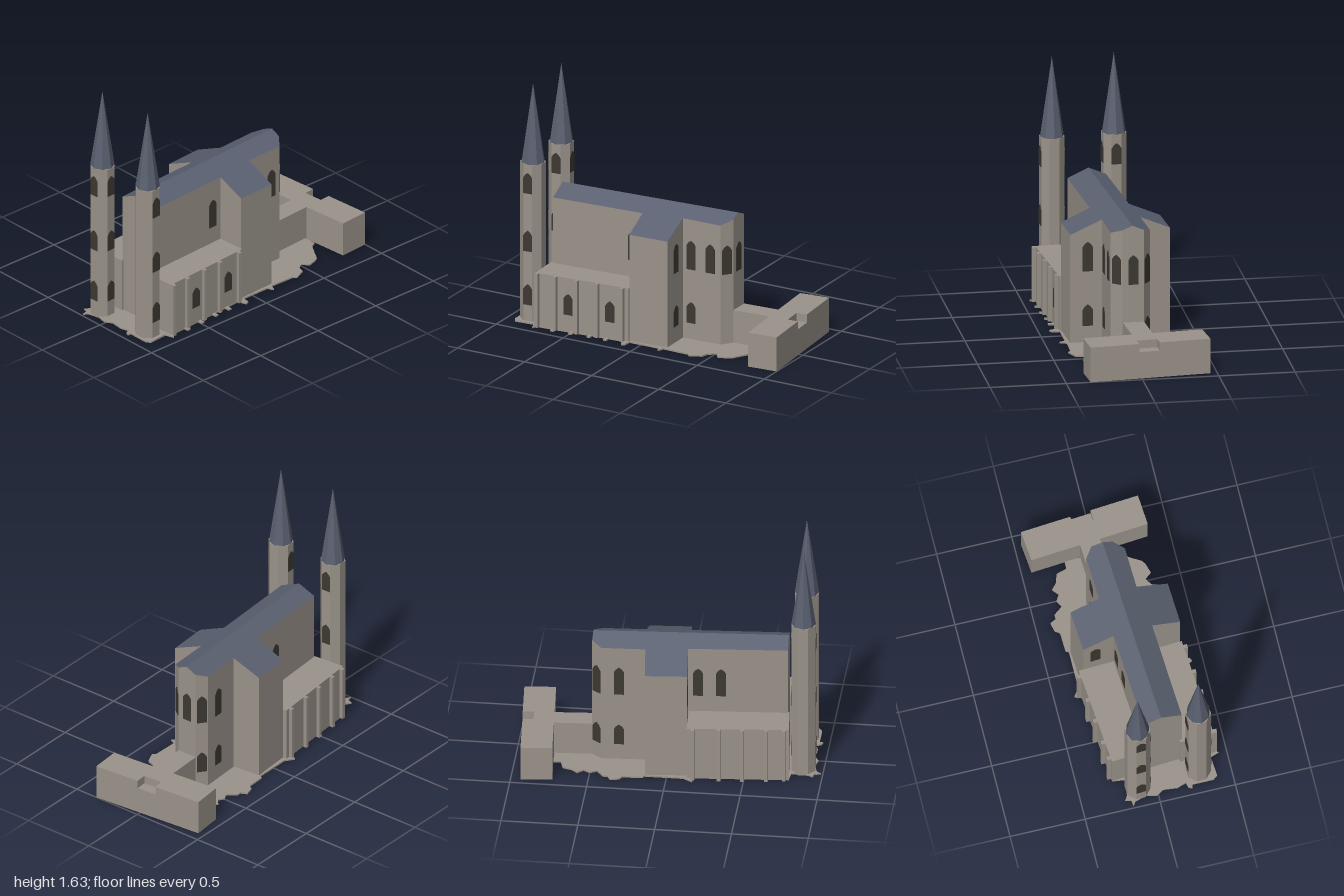
import * as THREE from 'three';

const wall = new THREE.MeshStandardMaterial({ color: 0x9a938a });
const roof = new THREE.MeshStandardMaterial({ color: 0x5a6070 });
const glass = new THREE.MeshStandardMaterial({ color: 0x3d3831 });
wall.name = 'stone';
roof.name = 'slate';
glass.name = 'darkWindow';
for (const m of [wall, roof, glass]) m.flatShading = true;

// Vertical prism over a plan of [x, z] points; top may be a height rule (x, z) => y
function prism(name, plan, y0, top, materials = wall) {
  const shape = new THREE.Shape(plan.map(([x, z]) => new THREE.Vector2(x, -z)));
  const g = new THREE.ExtrudeGeometry(shape, { depth: 1, bevelEnabled: false });
  g.rotateX(-Math.PI / 2);
  const p = g.attributes.position;
  for (let i = 0; i < p.count; i++) {
    const h = typeof top === 'function' ? top(p.getX(i), p.getZ(i)) : top;
    p.setY(i, p.getY(i) > 0.5 ? h : y0);
  }
  g.computeVertexNormals();
  const mesh = new THREE.Mesh(g, materials);
  mesh.name = name;
  return mesh;
}

// Thin plate with a pointed arch, standing on its sill
function windowPlate(h, w = 0.066) {
  const s = new THREE.Shape();
  s.moveTo(-w / 2, 0);
  s.lineTo(w / 2, 0);
  s.lineTo(w / 2, h - 0.035);
  s.lineTo(w * 0.3, h - 0.015);
  s.lineTo(0, h);
  s.lineTo(-w * 0.3, h - 0.015);
  s.lineTo(-w / 2, h - 0.035);
  const g = new THREE.ExtrudeGeometry(s, { depth: 0.006, bevelEnabled: false });
  g.translate(0, 0, -0.003);
  const mesh = new THREE.Mesh(g, glass);
  mesh.name = 'window';
  return mesh;
}

// Window at fraction t along a wall a-b (plan runs clockwise seen from above)
function wallWindow([ax, az], [bx, bz], t, y, h) {
  const m = windowPlate(h);
  m.position.set(ax + (bx - ax) * t, y, az + (bz - az) * t);
  m.rotation.y = Math.atan2(bz - az, ax - bx);
  return m;
}

// Octagonal tower with spire; sides are the faces holding windows (quarter turns from +z)
function tower(name, x, z, sides) {
  const g = new THREE.Group();
  g.name = name;
  const apothem = 0.077, r = apothem / Math.cos(Math.PI / 8);
  const shaft = new THREE.Mesh(new THREE.CylinderGeometry(r, r, 1.09, 8), wall);
  shaft.name = 'towerShaft';
  shaft.rotation.y = Math.PI / 8;
  shaft.position.y = 0.545;
  const spire = new THREE.Mesh(new THREE.ConeGeometry(0.079, 0.54, 8), roof);
  spire.name = 'spire';
  spire.position.y = 1.36;
  g.add(shaft, spire);
  for (const q of sides) {
    for (const y of [0.12, 0.49, 0.89]) {
      const a = q * Math.PI / 2;
      const w = windowPlate(0.143, 0.063);
      w.position.set(Math.sin(a) * apothem, y, Math.cos(a) * apothem);
      w.rotation.y = a;
      g.add(w);
    }
  }
  g.position.set(x, 0, z);
  g.rotation.y = 0.063;
  return g;
}

// Aisle wall outline from back to front with small buttresses of given centres
function buttressedEdge(a, b, centres, side) {
  const x = z => a[0] + (b[0] - a[0]) * (z - a[1]) / (b[1] - a[1]);
  const pts = [a];
  for (const c of centres) {
    pts.push([x(c - 0.012), c - 0.012], [x(c) + side * 0.025, c - 0.012],
      [x(c) + side * 0.025, c + 0.012], [x(c + 0.012), c + 0.012]);
  }
  pts.push(b);
  return pts;
}

export function createModel() {
  const model = new THREE.Group();
  model.name = 'church';

  // Ragged ground slab
  const slab = [
    [-0.21, -0.75], [-0.21, -0.70], [-0.28, -0.68], [-0.30, -0.62], [-0.335, -0.58], [-0.30, -0.54],
    [-0.325, -0.50], [-0.30, -0.455], [-0.36, -0.41], [-0.36, -0.38], [-0.40, -0.36], [-0.385, -0.30],
    [-0.355, -0.28], [-0.35, -0.15], [-0.33, -0.14], [-0.33, 0.11], [-0.37, 0.17], [-0.315, 0.19],
    [-0.27, 0.79], [-0.19, 0.80], [-0.20, 0.91], [-0.22, 0.94], [-0.18, 0.95], [-0.175, 0.99],
    [-0.155, 0.96], [-0.08, 0.94], [-0.01, 0.955], [0.04, 0.925], [0.13, 0.935], [0.19, 0.915],
    [0.20, 0.95], [0.225, 0.96], [0.23, 0.935], [0.37, 0.935], [0.40, 0.915], [0.39, 0.78], [0.45, 0.76],
    [0.415, 0.745], [0.37, 0.13], [0.43, 0.11], [0.42, 0.085], [0.365, 0.08], [0.365, -0.13],
    [0.405, -0.15], [0.36, -0.17], [0.365, -0.35], [0.385, -0.37], [0.35, -0.45], [0.30, -0.465],
    [0.27, -0.51], [0.315, -0.545], [0.295, -0.61], [0.28, -0.635], [0.22, -0.67], [0.14, -0.72], [0.12, -0.76],
  ];
  model.add(prism('groundSlab', slab, 0, 0.01));
  // Little pier bases along the slab edge
  for (const [x, z] of [[-0.315, 0.34], [-0.305, 0.49], [-0.29, 0.645], [0.395, 0.24], [0.40, 0.36], [0.41, 0.49], [0.42, 0.62]]) {
    const pier = new THREE.Mesh(new THREE.BoxGeometry(0.04, 0.01, 0.025), wall);
    pier.name = 'pierBase';
    pier.position.set(x, 0.005, z);
    model.add(pier);
  }

  // Nave, transept and choir: two halves meeting at a straight ridge
  const ridgeBack = [-0.015, -0.51], ridgeFront = [0.065, 0.753];
  const right = [[0.05, -0.51], [0.12, -0.455], [0.13, -0.18], [0.34, -0.185], [0.355, 0.09], [0.165, 0.10], [0.205, 0.745]];
  const left = [[-0.05, 0.76], [-0.095, 0.115], [-0.30, 0.13], [-0.32, -0.14], [-0.125, -0.16], [-0.14, -0.445], [-0.09, -0.51]];
  const roofHeight = (x, z) => 0.89 - 0.44 * Math.abs(x - (-0.015 + 0.0633 * (z + 0.51)));
  model.add(prism('rightNave', [ridgeBack, ...right, ridgeFront], 0.005, roofHeight, [roof, wall]));
  model.add(prism('leftNave', [ridgeFront, ...left, ridgeBack], 0.005, roofHeight, [roof, wall]));

  // Low side aisles with buttresses
  model.add(prism('rightAisle', [[0.15, 0.095],
    ...buttressedEdge([0.365, 0.09], [0.415, 0.755], [0.13, 0.31, 0.455, 0.61, 0.74], 1), [0.19, 0.765]], 0.005, 0.375));
  model.add(prism('leftAisle', [[-0.08, 0.12],
    ...buttressedEdge([-0.33, 0.13], [-0.27, 0.79], [0.17, 0.34, 0.49, 0.645, 0.76], -1), [-0.04, 0.77]], 0.005, 0.375));

  // Twin towers
  model.add(tower('leftTower', -0.12, 0.87, [0, 1, 2]));
  model.add(tower('rightTower', 0.29, 0.845, [1, 3]));

  // Rear wing with a notch in its roof, and the passage to the choir
  const wing = [[-0.455, -0.935], [0.34, -1], [0.355, -0.795], [-0.435, -0.73]];
  model.add(prism('rearWing', wing, 0, 0.18));
  model.add(prism('rearWingTop', [wing[0], [-0.12, -0.962], [-0.112, -0.89], [0.022, -0.90], [0.017, -0.974],
    ...wing.slice(1)], 0.18, 0.235));
  model.add(prism('passage', [[-0.105, -0.77], [0.03, -0.78], [0.05, -0.50], [-0.09, -0.50]], 0, 0.235));

  // Windows: [wall start, wall end, fraction, sill, height]
  const hi = [0.49, 0.2], lo = [0.12, 0.145];
  const windows = [
    [right[5], right[6], 0.11, ...hi],
    [right[1], right[2], 0.78, ...hi], [right[1], right[2], 0.78, ...lo], [right[1], right[2], 0.27, ...hi],
    [right[0], right[1], 0.5, ...hi],
    [right[2], right[3], 0.45, ...hi], [right[2], right[3], 0.45, ...lo],
    [left[6], right[0], 0.5, ...hi],
    [left[5], left[6], 0.5, ...hi], [left[5], left[6], 0.5, ...lo],
    [left[4], left[5], 0.6, ...hi], [left[4], left[5], 0.6, ...lo],
    [left[1], left[2], 0.6, ...hi],
    [left[0], left[1], 0.67, ...hi], [left[0], left[1], 0.9, ...hi],
    [[0.365, 0.09], [0.415, 0.755], 0.2, ...lo], [[0.365, 0.09], [0.415, 0.755], 0.65, ...lo],
  ];
  for (const w of windows) model.add(wallWindow(...w));

  return model;
}
